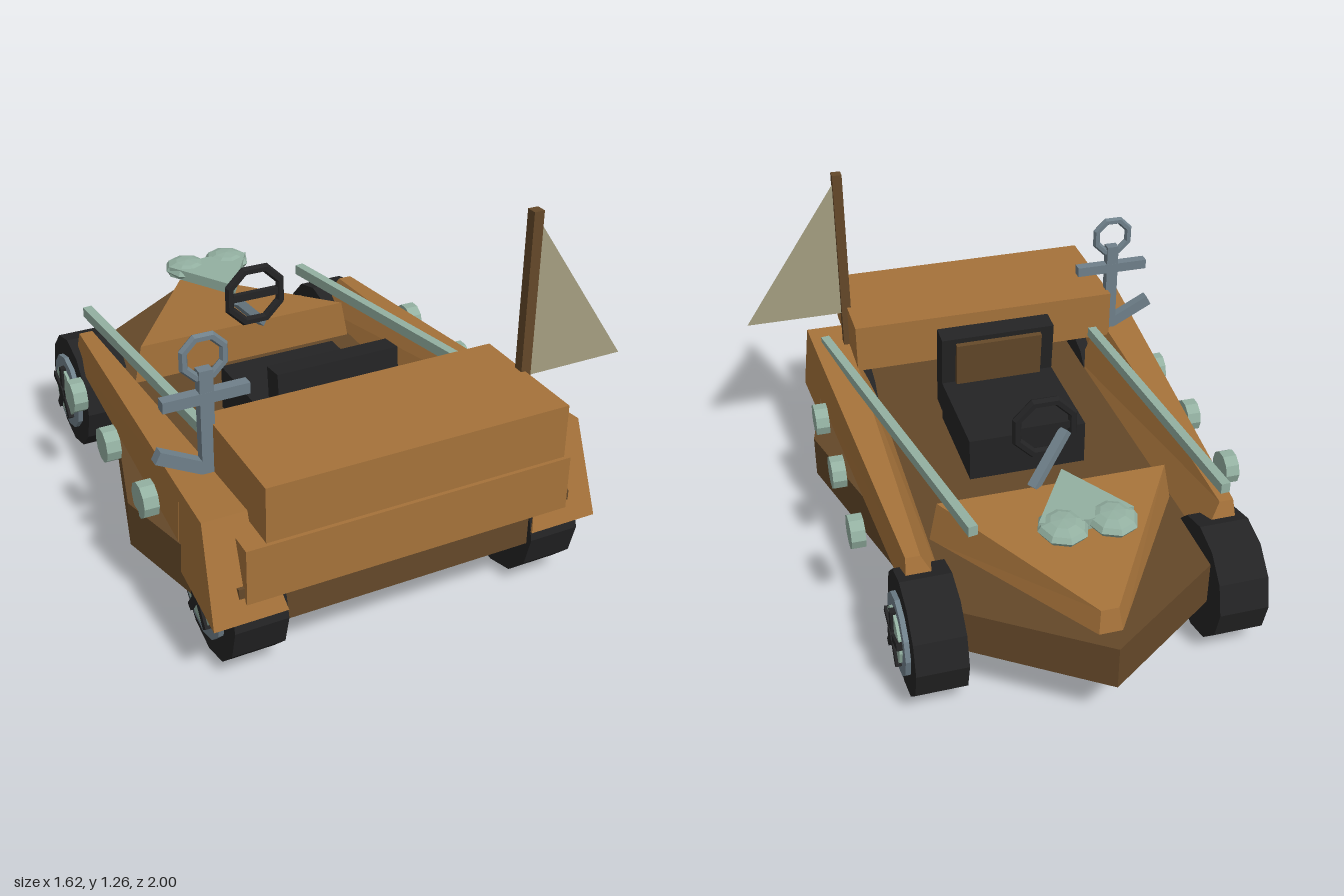
import * as THREE from 'three';

const mat = (name, color, double) => {
  const m = new THREE.MeshStandardMaterial({ color });
  m.name = name;
  m.flatShading = true;
  if (double) m.side = THREE.DoubleSide;
  return m;
};

// Solid through rings of [x, y, z], each counterclockwise seen from +z, running towards -z
function loft(rings) {
  const pos = [], n = rings[0].length;
  const tri = (...p) => p.forEach(v => pos.push(...v));
  for (let r = 0; r < rings.length - 1; r++) {
    for (let i = 0; i < n; i++) {
      const j = (i + 1) % n, [p, q] = [rings[r], rings[r + 1]];
      tri(p[i], q[i], q[j]);
      tri(p[i], q[j], p[j]);
    }
  }
  const a = rings[0], b = rings[rings.length - 1];
  for (let i = 1; i < n - 1; i++) {
    tri(a[0], a[i], a[i + 1]);
    tri(b[0], b[i + 1], b[i]);
  }
  const g = new THREE.BufferGeometry();
  g.setAttribute('position', new THREE.Float32BufferAttribute(pos, 3));
  g.computeVertexNormals();
  return g;
}

// Flat plate from [x, z] points, its top at y = 0
function plate(points, depth) {
  const shape = new THREE.Shape(points.map(p => new THREE.Vector2(...p)));
  return new THREE.ExtrudeGeometry(shape, { depth, bevelEnabled: false }).rotateX(Math.PI / 2);
}

export function createModel() {
  const wood = mat('wood', 0xa5723a);
  const darkWood = mat('dark wood', 0x644829);
  const black = mat('black rubber', 0x232324);
  const green = mat('pale green', 0x93b0a1);
  const steel = mat('blue steel', 0x6f808a);
  const cloth = mat('sail cloth', 0xa59e81, true);

  const model = new THREE.Group();
  const body = new THREE.Group(); // everything symmetric about the centreline
  body.name = 'body';
  body.position.x = -0.09;
  model.add(body);

  const add = (parent, name, geo, material, x = 0, y = 0, z = 0) => {
    const m = new THREE.Mesh(geo, material);
    m.name = name;
    m.position.set(x, y, z);
    parent.add(m);
    return m;
  };
  const box = (w, h, d) => new THREE.BoxGeometry(w, h, d);
  const disc = (r, w, sides) => new THREE.CylinderGeometry(r, r, w, sides).rotateZ(Math.PI / 2);
  // Square bar between two points
  const bar = (parent, name, material, from, to, w, h) => {
    const a = new THREE.Vector3(...from), b = new THREE.Vector3(...to);
    const m = add(parent, name, box(w, h, a.distanceTo(b)), material);
    m.position.copy(a).add(b).multiplyScalar(0.5);
    m.lookAt(b);
    return m;
  };

  // Hull and nose deck
  add(body, 'hull', plate([[0, -1], [0.43, -0.7], [0.72, 0.4], [0.578, 0.955],
    [-0.578, 0.955], [-0.72, 0.4], [-0.43, -0.7]], 0.16), darkWood, 0, 0.35, 0);
  add(body, 'noseDeck', loft([
    [[-0.44, 0.345, -0.31], [0.44, 0.345, -0.31], [0.41, 0.495, -0.31], [-0.41, 0.495, -0.31]],
    [[-0.04, 0.345, -0.92], [0.04, 0.345, -0.92], [0.03, 0.43, -0.9], [-0.03, 0.43, -0.9]],
  ]), wood);

  // Rear panel and trunk
  add(body, 'rearPanel', box(1.12, 0.19, 0.08), wood, 0, 0.395, 0.93);
  add(body, 'trunk', box(1.02, 0.185, 0.445), wood, 0, 0.617, 0.777);

  // Side bodies, rails and round fenders
  const sideRings = [
    [[0.43, 0.245, 0.98], [0.67, 0.245, 0.98], [0.655, 0.555, 0.87], [0.505, 0.555, 0.87]],
    [[0.43, 0.245, 0.66], [0.65, 0.245, 0.66], [0.643, 0.543, 0.66], [0.507, 0.543, 0.66]],
    [[0.43, 0.35, 0.66], [0.65, 0.35, 0.66], [0.643, 0.543, 0.66], [0.507, 0.543, 0.66]],
    [[0.45, 0.35, -0.58], [0.58, 0.35, -0.58], [0.57, 0.477, -0.54], [0.52, 0.477, -0.54]],
  ];
  for (const s of [1, -1]) {
    const rings = sideRings.map(ring => {
      const r = ring.map(([x, y, z]) => [x * s, y, z]);
      return s > 0 ? r : r.reverse();
    });
    add(body, 'sideBody', loft(rings), wood);
    bar(body, 'rail', green, [s * 0.435, 0.55, -0.565], [s * 0.51, 0.55, 0.785], 0.033, 0.038);
    for (const z of [0.46, 0.105, -0.25]) {
      add(body, 'boatFender', disc(0.061, 0.05, 10), green, s * 0.68, 0.393, z);
    }
  }

  // Wheels
  for (const s of [1, -1]) {
    for (const z of [-0.595, 0.765]) {
      const wheel = new THREE.Group();
      wheel.name = 'wheel';
      wheel.position.set(s * 0.517, 0.215, z);
      body.add(wheel);
      add(wheel, 'tyre', disc(0.215, 0.175, 12), black);
      add(wheel, 'rim', disc(0.143, 0.03, 12), steel, s * 0.09);
      add(wheel, 'hubDisc', disc(0.098, 0.03, 12), green, s * 0.1);
      add(wheel, 'hubCap', disc(0.028, 0.03, 8), black, s * 0.114);
      for (let i = 0; i < 5; i++) {
        const a = i * Math.PI * 2 / 5;
        const spoke = add(wheel, 'spoke', box(0.025, 0.105, 0.026), black,
          s * 0.112, Math.cos(a) * 0.052, Math.sin(a) * 0.052);
        spoke.rotation.x = a;
      }
    }
  }

  // Seat
  add(body, 'seatBase', box(0.435, 0.165, 0.42), black, 0, 0.432, 0.195);
  const back = new THREE.Group();
  back.name = 'seatBack';
  back.position.set(0, 0.55, 0.43);
  back.rotation.x = -0.1;
  body.add(back);
  add(back, 'backrest', box(0.435, 0.33, 0.08), black);
  add(back, 'backCushion', box(0.33, 0.24, 0.022), darkWood, 0, 0.025, -0.05);

  // Steering wheel and column
  const steer = add(body, 'steeringWheel', new THREE.TorusGeometry(0.108, 0.018, 6, 8), black, 0, 0.665, -0.207);
  steer.rotation.z = Math.PI / 8;
  add(body, 'steeringSpoke', box(0.2, 0.028, 0.02), black, 0, 0.665, -0.207);
  bar(body, 'steeringColumn', steel, [0, 0.67, -0.21], [0, 0.47, -0.32], 0.035, 0.03);

  // Heart ornament above the nose
  const heart = new THREE.Group();
  heart.name = 'heartOrnament';
  body.add(heart);
  add(heart, 'heartPoint', plate([[-0.16, -0.655], [0, -0.68], [0.16, -0.655], [0, -0.395]], 0.04),
    green, 0, 0.618, 0);
  for (const s of [1, -1]) {
    const lobe = add(heart, 'heartLobe', new THREE.SphereGeometry(1, 8, 6), green, s * 0.083, 0.596, -0.668);
    lobe.scale.set(0.085, 0.033, 0.095);
  }

  // Flag
  add(model, 'flagPole', box(0.036, 0.72, 0.036), darkWood, 0.423, 0.9, 0.745);
  const sail = new THREE.Shape([[0.44, 0.68], [0.805, 0.68], [0.44, 1.22]].map(p => new THREE.Vector2(...p)));
  add(model, 'flag', new THREE.ShapeGeometry(sail), cloth, 0, 0, 0.745);

  // Anchor
  const anchor = new THREE.Group();
  anchor.name = 'anchor';
  anchor.position.set(-0.615, 0, 0.605);
  model.add(anchor);
  add(anchor, 'shank', box(0.045, 0.35, 0.036), steel, 0, 0.72, 0);
  add(anchor, 'stock', box(0.28, 0.037, 0.037), steel, 0, 0.803, 0);
  const ring = add(anchor, 'ring', new THREE.TorusGeometry(0.069, 0.015, 6, 8), steel, 0, 0.935, 0);
  ring.rotation.z = Math.PI / 8;
  for (const s of [1, -1]) {
    const fluke = add(anchor, 'fluke', box(0.19, 0.042, 0.036), steel, s * 0.078, 0.593, 0);
    fluke.rotation.z = s * 0.48;
  }

  return model;
}
